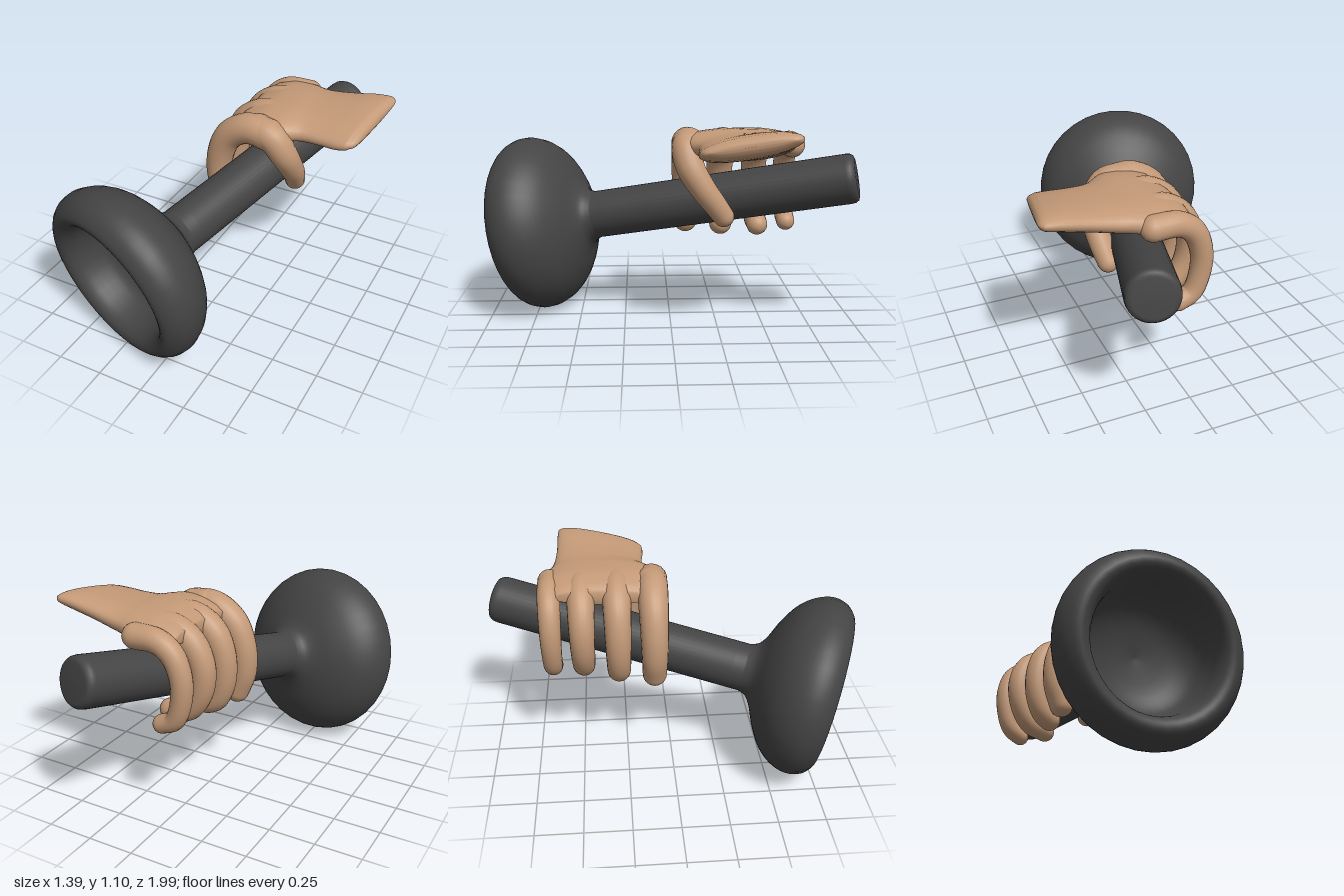
import * as THREE from 'three';

const V = (x, y, z) => new THREE.Vector3(x, y, z);

// Skin a list of equal closed rings (counter-clockwise about the direction of travel)
function loft(rings) {
  const n = rings[0].length, pos = [], idx = [];
  rings.forEach(r => r.forEach(p => pos.push(p.x, p.y, p.z)));
  for (let i = 0; i < rings.length - 1; i++) {
    for (let j = 0; j < n; j++) {
      const k = (j + 1) % n, a = i * n + j, b = i * n + k;
      idx.push(a, b, a + n, b, b + n, a + n);
    }
  }
  const g = new THREE.BufferGeometry();
  g.setAttribute('position', new THREE.Float32BufferAttribute(pos, 3));
  g.setIndex(idx);
  g.computeVertexNormals();
  return g;
}

// Tapered tube with round ends; the last path point is the centre of the tip ball
function digit(points, r0, r1) {
  const curve = new THREE.CatmullRomCurve3(points, false, 'centripetal');
  const steps = 32, caps = 7, sides = 20, rings = [];
  const { tangents, normals, binormals } = curve.computeFrenetFrames(steps, false);
  const ring = (i, offset, r) => {
    const c = curve.getPointAt(i / steps).addScaledVector(tangents[i], offset);
    rings.push(Array.from({ length: sides }, (_, j) => {
      const a = j / sides * Math.PI * 2;
      return c.clone().addScaledVector(normals[i], r * Math.cos(a))
        .addScaledVector(binormals[i], r * Math.sin(a));
    }));
  };
  for (let k = 0; k < caps; k++) {
    const a = k / caps * Math.PI / 2;
    ring(0, -r0 * Math.cos(a), Math.max(r0 * Math.sin(a), 1e-4));
  }
  for (let i = 0; i <= steps; i++) ring(i, 0, THREE.MathUtils.lerp(r0, r1, i / steps));
  for (let k = 1; k <= caps; k++) {
    const a = k / caps * Math.PI / 2;
    ring(steps, r1 * Math.sin(a), Math.max(r1 * Math.cos(a), 1e-4));
  }
  return loft(rings);
}

// Palm and wrist: flattened sections along x
function palmGeometry() {
  // x, centre y, centre z, half thickness, half width, tilt, edge slant
  const keys = [
    [-0.04, 0.975, -0.36, 0.035, 0.24, 0.03, 0],
    [0.00, 0.98, -0.36, 0.06, 0.28, 0.02, 0],
    [0.10, 0.992, -0.36, 0.078, 0.31, 0.01, 0],
    [0.20, 0.995, -0.36, 0.08, 0.305, 0.01, 0],
    [0.31, 0.995, -0.375, 0.074, 0.25, 0.05, 0],
    [0.45, 1.01, -0.37, 0.066, 0.24, 0.12, -0.08],
    [0.57, 1.025, -0.365, 0.06, 0.245, 0.17, -0.14],
    [0.62, 1.032, -0.365, 0.052, 0.243, 0.17, -0.16],
    [0.65, 1.036, -0.365, 0.036, 0.225, 0.17, -0.16],
    [0.662, 1.038, -0.365, 0.015, 0.2, 0.17, -0.16],
    [0.664, 1.038, -0.365, 0.0005, 0.18, 0.17, -0.16],
  ];
  const sides = 36, sub = 4, rings = [];
  const path = c => new THREE.CatmullRomCurve3(
    keys.map(k => V(k[c], k[c + 1] ?? 0, k[c + 2] ?? 0)));
  const centre = path(0), size = path(3), slant = path(6);
  const pw = (v, e) => Math.sign(v) * Math.abs(v) ** e;
  const total = (keys.length - 1) * sub;
  for (let i = 0; i <= total; i++) {
    const t = i / total, c = centre.getPoint(t), s = size.getPoint(t), e = slant.getPoint(t);
    rings.push(Array.from({ length: sides }, (_, j) => {
      const a = j / sides * Math.PI * 2;
      const dz = s.y * pw(Math.sin(a), 0.8);
      return V(c.x + e.x * dz, c.y + s.x * pw(Math.cos(a), 0.9) - s.z * dz, c.z + dz);
    }));
  }
  // close both ends to a point
  for (const end of [0, rings.length - 1]) {
    const m = rings[end].reduce((q, p) => q.add(p), V(0, 0, 0)).divideScalar(sides);
    const cap = rings[end].map(() => m.clone());
    if (end) rings.push(cap); else rings.unshift(cap);
  }
  return loft(rings);
}

export function createModel() {
  const model = new THREE.Group();
  model.name = 'handHoldingPlunger';
  const rubber = new THREE.MeshStandardMaterial({ color: 0x444444 });
  const skin = new THREE.MeshStandardMaterial({ color: 0xc49a78 });
  const add = (parent, name, geometry, material) => {
    const mesh = new THREE.Mesh(geometry, material);
    mesh.name = name;
    parent.add(mesh);
    return mesh;
  };

  // Plunger: handle, flared cup, rolled lip and hollow, turned about one axis
  const stick = [[0, -1.806], [0.1, -1.804], [0.118, -1.798], [0.128, -1.782], [0.131, -1.76], [0.131, -0.42]];
  const cup = [[0.131, -0.36], [0.15, -0.315], [0.2, -0.28], [0.3, -0.235], [0.4, -0.17],
    [0.465, -0.09], [0.493, 0], [0.474, 0.08], [0.42, 0.13], [0.372, 0.122], [0.34, 0.075],
    [0.325, 0], [0.285, -0.08], [0.18, -0.14], [0, -0.165]];
  const cupCurve = new THREE.SplineCurve(cup.map(p => new THREE.Vector2(...p)));
  const profile = [...stick.map(p => new THREE.Vector2(...p)), ...cupCurve.getPoints(56)];
  profile.forEach(p => { p.x = Math.max(p.x, 0); });
  const plunger = add(model, 'plunger', new THREE.LatheGeometry(profile, 36), rubber);
  plunger.position.set(-0.215, 0.494, 0.735);
  plunger.quaternion.setFromUnitVectors(V(0, 1, 0), V(-0.29, -0.187, 0.938).normalize());

  // Hand
  const hand = new THREE.Group();
  hand.name = 'hand';
  model.add(hand);
  add(hand, 'palm', palmGeometry(), skin);

  // Fingers: z, start radius, tip radius, then the curl in x and y
  const fingers = {
    indexFinger: [-0.092, 0.088, 0.066, [[0.17, 0.975], [0.05, 0.985], [-0.06, 0.92], [-0.12, 0.79], [-0.128, 0.65], [-0.09, 0.53]]],
    middleFinger: [-0.285, 0.083, 0.062, [[0.17, 0.985], [0.04, 0.985], [-0.06, 0.92], [-0.11, 0.8], [-0.112, 0.66], [-0.07, 0.555], [-0.02, 0.525]]],
    ringFinger: [-0.475, 0.08, 0.057, [[0.17, 0.99], [0.04, 0.985], [-0.05, 0.925], [-0.103, 0.81], [-0.09, 0.67], [-0.02, 0.565], [0.09, 0.54]]],
    littleFinger: [-0.642, 0.066, 0.05, [[0.17, 0.985], [0.04, 0.98], [-0.04, 0.925], [-0.085, 0.81], [-0.08, 0.68], [-0.04, 0.58], [0.03, 0.545]]],
  };
  for (const [name, [z, r0, r1, path]] of Object.entries(fingers)) {
    add(hand, name, digit(path.map(([x, y]) => V(x, y, z)), r0, r1), skin);
  }

  // Thumb: leaves the index side of the palm and runs down the other side of the handle
  add(hand, 'thumb', digit([V(0.1, 0.985, -0.1), V(0.19, 0.97, -0.085), V(0.25, 0.88, -0.1),
    V(0.272, 0.77, -0.165), V(0.268, 0.69, -0.225), V(0.255, 0.62, -0.275)], 0.088, 0.056), skin);

  return model;
}
